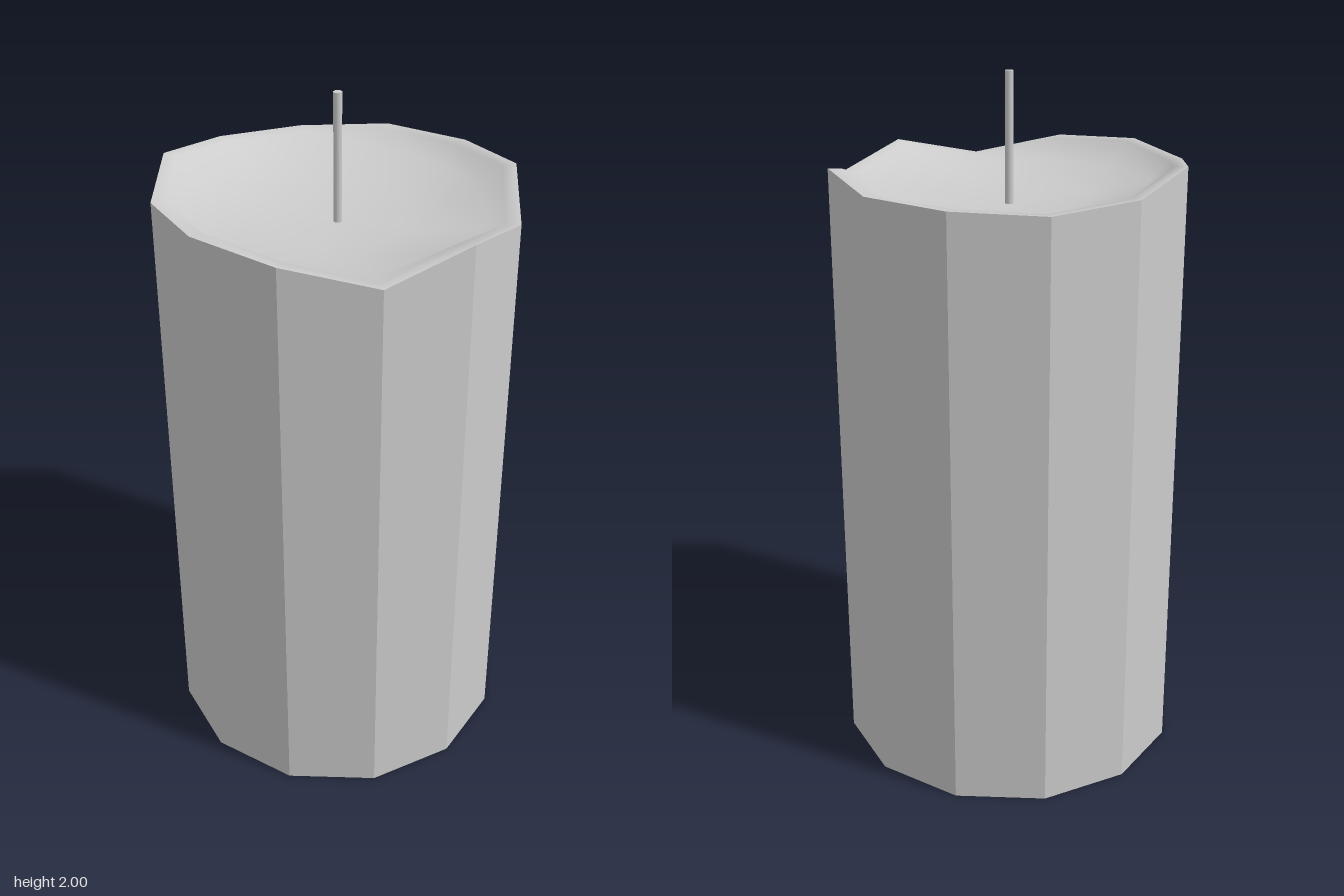
import * as THREE from 'three';
import { mergeVertices } from 'three/addons/utils/BufferGeometryUtils.js';

const SIDES = 12;
const RADIUS = 0.5;
// Uneven rim height at each corner, from +x towards +z
const RIM = [1.695, 1.745, 1.685, 1.74, 1.755, 1.74, 1.77, 1.73, 1.715, 1.725, 1.73, 1.755];

function rimHeight(x, z) {
  const corner = Math.round((Math.atan2(z, x) / (Math.PI * 2)) * SIDES);
  return RIM[(corner + SIDES) % SIDES];
}

// Faceted wall whose top edge follows the uneven rim
function wallGeometry() {
  const geo = new THREE.CylinderGeometry(RADIUS, RADIUS, 1, SIDES, 1, true);
  const p = geo.attributes.position;
  for (let i = 0; i < p.count; i++) {
    p.setY(i, p.getY(i) > 0 ? rimHeight(p.getX(i), p.getZ(i)) : 0);
  }
  return geo;
}

// Melted hollow: each ring blends from the rim height to the level pool
function hollowGeometry() {
  // [radius, pool height, share of rim height]
  const rings = [
    [0.5, 0, 1],
    [0.46, 0, 0.998],
    [0.41, 1.665, 0.25],
    [0.22, 1.648, 0.08],
    [0, 1.635, 0],
  ];
  const profile = rings.map(([r], i) => new THREE.Vector2(r, i));
  let geo = new THREE.LatheGeometry(profile, SIDES);
  const p = geo.attributes.position;
  for (let i = 0; i < p.count; i++) {
    const [, pool, share] = rings[Math.round(p.getY(i))];
    const rim = rimHeight(p.getX(i), p.getZ(i));
    p.setY(i, pool * (1 - share) + rim * share);
    if (pool === 0) p.setY(i, rim - (1 - share) * 1.5);
  }
  geo.deleteAttribute('normal');
  geo.deleteAttribute('uv');
  geo = mergeVertices(geo, 1e-4);
  geo.computeVertexNormals();
  return geo;
}

export function createModel() {
  const candle = new THREE.Group();
  candle.name = 'candle';
  const smooth = new THREE.MeshStandardMaterial({ color: 0xcccccc });
  const faceted = new THREE.MeshStandardMaterial({ color: 0xcccccc, flatShading: true });

  const add = (name, geometry, material) => {
    const mesh = new THREE.Mesh(geometry, material);
    mesh.name = name;
    candle.add(mesh);
    return mesh;
  };

  add('waxWall', wallGeometry(), faceted);
  add('meltedHollow', hollowGeometry(), smooth);
  add('base', new THREE.CircleGeometry(RADIUS, SIDES).rotateX(Math.PI / 2), faceted);

  // Wick rising from the middle of the hollow
  const wickBottom = 1.62;
  const wick = add('wick', new THREE.CylinderGeometry(0.012, 0.012, 2 - wickBottom, 12), smooth);
  wick.position.y = (2 + wickBottom) / 2;

  return candle;
}
